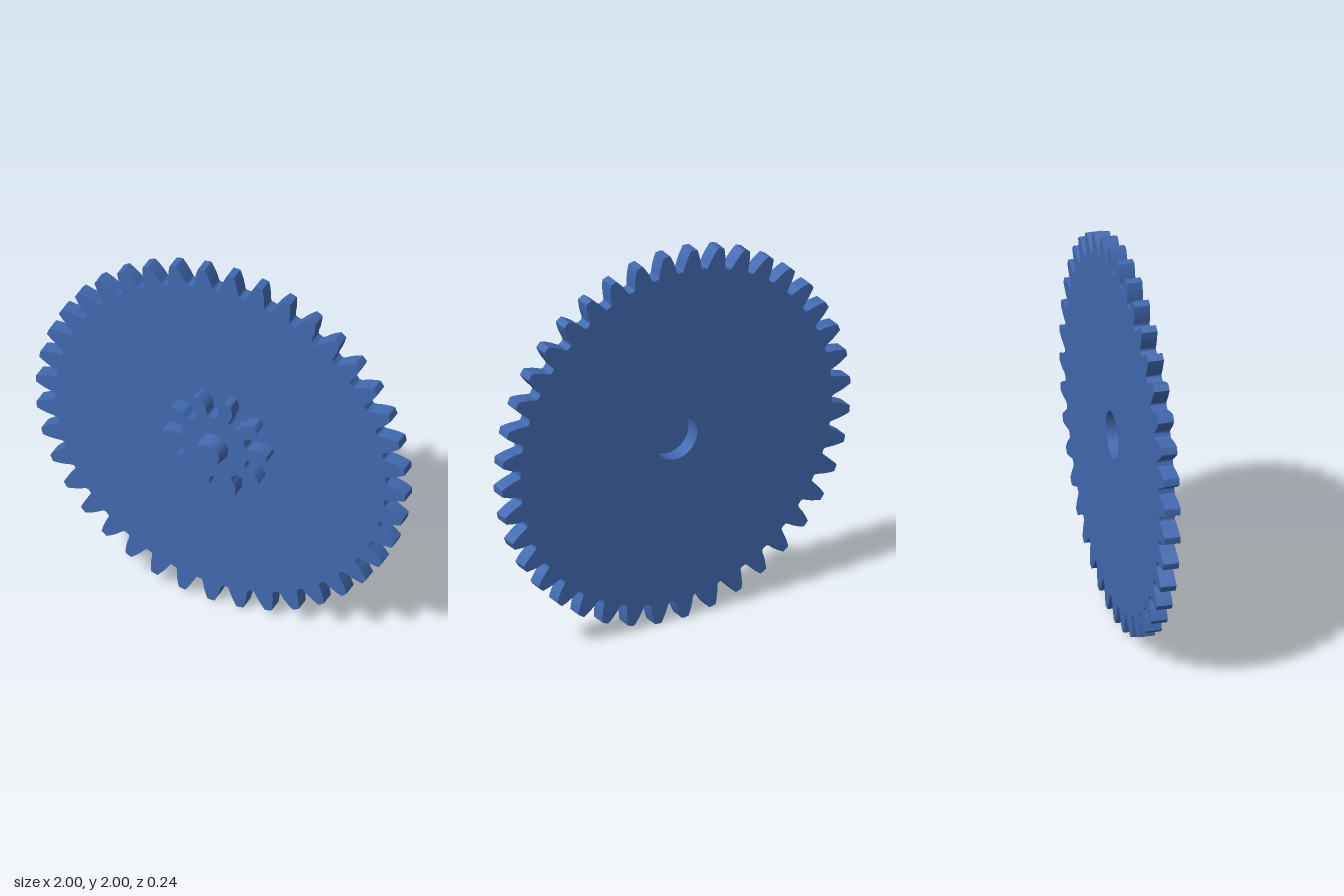
import * as THREE from 'three';

const MODULE = 1 / 21;          // tooth size shared by both gears
const PRESSURE = Math.PI / 9;   // 20 degree pressure angle
const THICK = 0.08;

// Half of one tooth as [radius, half angle] pairs, from root fillet to tip.
function toothProfile(teeth, fillet) {
  const pitch = MODULE * teeth / 2;
  const base = pitch * Math.cos(PRESSURE);
  const tip = pitch + MODULE;
  const inv = (a) => Math.tan(a) - a;
  const baseHalf = Math.PI / (2 * teeth) + inv(PRESSURE);
  const start = Math.max(base, fillet[fillet.length - 1][0] + 0.012);
  const points = [...fillet];
  for (let i = 0; i <= 6; i++) {
    const r = start + (tip - start) * i / 6;
    points.push([r, baseHalf - inv(Math.acos(Math.min(1, base / r)))]);
  }
  return points;
}

// Closed outline: the profile mirrored about each tooth's centre line.
function gearShape(teeth, phase, fillet) {
  const half = toothProfile(teeth, fillet);
  const points = [];
  const add = (r, a) => points.push(new THREE.Vector2(r * Math.cos(a), r * Math.sin(a)));
  for (let t = 0; t < teeth; t++) {
    const centre = phase + t * 2 * Math.PI / teeth;
    for (const [r, a] of half) add(r, centre - a);
    add(half[half.length - 1][0] + 0.0005, centre);
    for (const [r, a] of [...half].reverse()) add(r, centre + a);
  }
  return new THREE.Shape(points);
}

export function createModel() {
  const group = new THREE.Group();
  group.name = 'compoundGear';
  const material = new THREE.MeshStandardMaterial({ color: 0x4169b0 });

  const addPart = (name, geometry, z) => {
    const mesh = new THREE.Mesh(geometry, material);
    mesh.name = name;
    mesh.position.set(0, 1, z);
    group.add(mesh);
  };
  const extrude = (shape) => new THREE.ExtrudeGeometry(shape, {
    depth: THICK, bevelEnabled: false, curveSegments: 32,
  });
  const deg = THREE.MathUtils.degToRad;

  // Large gear with a bore open at the back
  const wheel = gearShape(40, deg(87), [[0.893, 0.067], [0.896, 0.06], [0.903, 0.0555]]);
  wheel.holes.push(new THREE.Path().absarc(0, 0, 0.12, 0, Math.PI * 2, true));
  addPart('largeGear', extrude(wheel), -0.12);

  // Small gear, whose back closes the bore
  const pinion = gearShape(10, deg(74.3),
    [[0.179, 0.245], [0.182, 0.2], [0.19, 0.172], [0.205, 0.164]]);
  addPart('smallGear', extrude(pinion), -0.04);

  // Tapered hub pin
  const pin = new THREE.CylinderGeometry(0.066, 0.079, THICK, 48).rotateX(Math.PI / 2);
  addPart('hubPin', pin, 0.08);

  return group;
}
